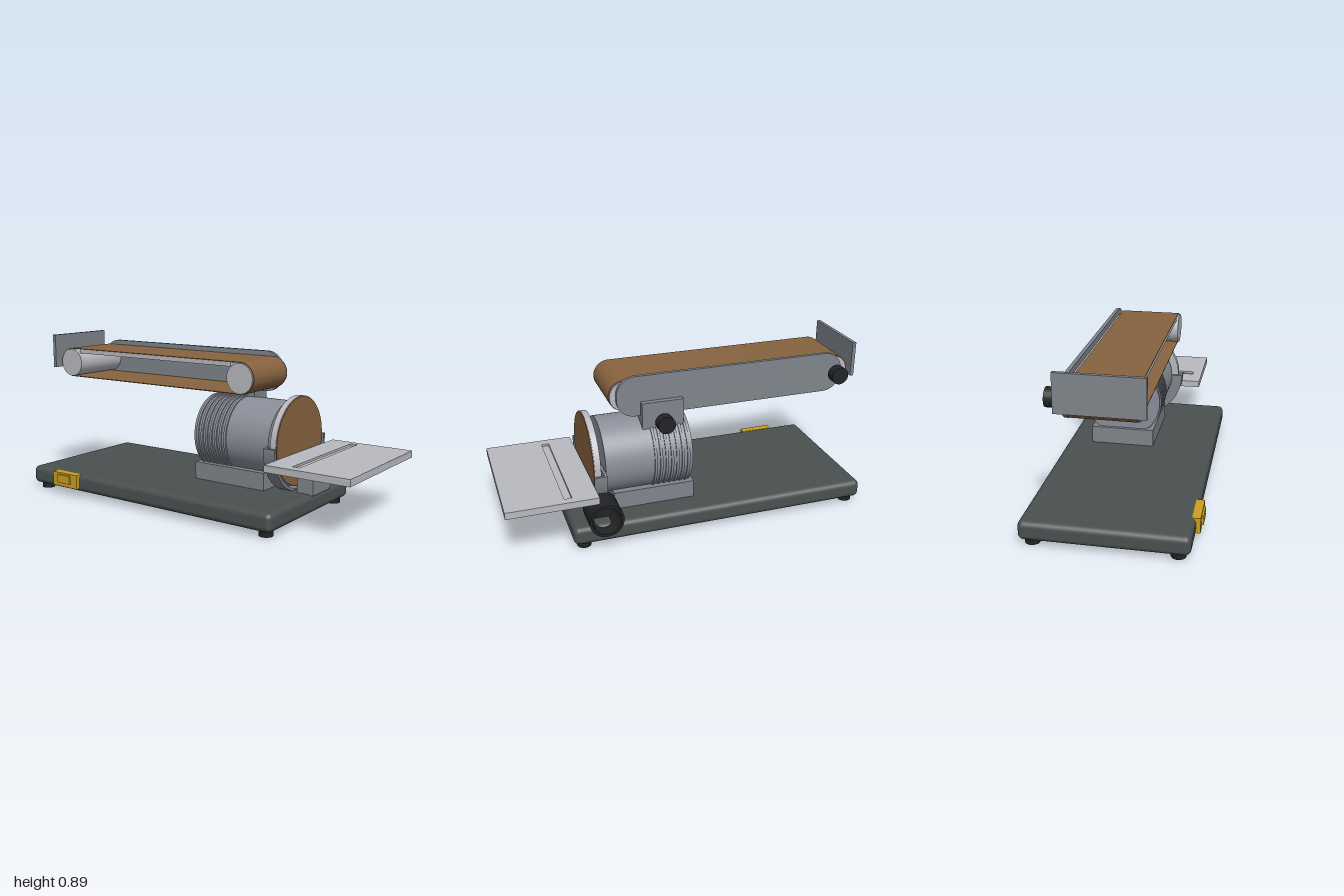
import * as THREE from 'three';
import { toCreasedNormals } from 'three/addons/utils/BufferGeometryUtils.js';
import { RoundedBoxGeometry } from 'three/addons/geometries/RoundedBoxGeometry.js';

export function createModel() {
  const root = new THREE.Group();
  root.name = 'beltDiscSander';

  const mat = (name, color, side = THREE.FrontSide) => {
    const m = new THREE.MeshStandardMaterial({ color, side });
    m.name = name;
    return m;
  };
  const baseGrey = mat('baseGrey', 0x4a5050);
  const black = mat('blackPlastic', 0x222324);
  const silver = mat('silver', 0xb9bac0);
  const steel = mat('steel', 0x7f858c);
  const motorGrey = mat('motorGrey', 0x8a8e98);
  const abrasive = mat('abrasive', 0x876340);
  const yellow = mat('switchYellow', 0xc9a020);

  const add = (name, geo, material, x = 0, y = 0, z = 0) => {
    const m = new THREE.Mesh(geo, material);
    m.name = name;
    m.position.set(x, y, z);
    root.add(m);
    return m;
  };
  // Box given by its limits on each axis
  const box = (name, material, [x0, x1], [y0, y1], [z0, z1]) =>
    add(name, new THREE.BoxGeometry(x1 - x0, y1 - y0, z1 - z0), material,
      (x0 + x1) / 2, (y0 + y1) / 2, (z0 + z1) / 2);
  // Cylinders along x and z, given by their end positions
  const cylX = (name, material, r, x0, x1, y, z, seg = 64) =>
    add(name, new THREE.CylinderGeometry(r, r, x1 - x0, seg).rotateZ(-Math.PI / 2), material, (x0 + x1) / 2, y, z);
  const cylZ = (name, material, r, x, y, z0, z1, seg = 48) =>
    add(name, new THREE.CylinderGeometry(r, r, z1 - z0, seg).rotateX(Math.PI / 2), material, x, y, (z0 + z1) / 2);
  const extrude = (shape, depth) => toCreasedNormals(
    new THREE.ExtrudeGeometry(shape, { depth, bevelEnabled: false, curveSegments: 32 }), 0.5);
  // Rounded rectangle outline
  const roundRect = (target, x0, x1, y0, y1, r) => {
    target.absarc(x1 - r, y0 + r, r, -Math.PI / 2, 0);
    target.absarc(x1 - r, y1 - r, r, 0, Math.PI / 2);
    target.absarc(x0 + r, y1 - r, r, Math.PI / 2, Math.PI);
    target.absarc(x0 + r, y0 + r, r, Math.PI, Math.PI * 1.5);
    target.closePath();
    return target;
  };

  // Base and feet
  add('base', new RoundedBoxGeometry(1.645, 0.1, 0.825, 5, 0.03), baseGrey, -0.168, 0.08, 0.017);
  for (const x of [-0.93, 0.595]) for (const z of [-0.335, 0.367])
    add('foot', new THREE.CylinderGeometry(0.037, 0.037, 0.032, 32), black, x, 0.016, z);

  // Power switch
  box('switchHousing', yellow, [-0.8, -0.613], [0.05, 0.13], [0.41, 0.452]);
  box('switchRocker', yellow, [-0.755, -0.662], [0.073, 0.12], [0.45, 0.462]);

  // Motor with cooling ribs
  const AY = 0.383, AZ = -0.08;
  box('motorMount', steel, [-0.04, 0.405], [0.125, 0.225], [-0.254, 0.094]);
  cylX('motorBody', motorGrey, 0.208, -0.022, 0.452, AY, AZ);
  for (let i = 0; i < 7; i++) {
    const x = -0.005 + i * 0.03;
    cylX('coolingRib', motorGrey, 0.215, x, x + 0.014, AY, AZ);
  }
  cylX('motorShaft', silver, 0.04, 0.44, 0.49, AY, AZ, 32);

  // Sanding disc
  cylX('discPlate', silver, 0.242, 0.485, 0.518, AY, AZ, 80);
  cylX('discAbrasive', abrasive, 0.238, 0.516, 0.522, AY, AZ, 80);

  // Half-round guard below the disc: back plate and rim
  const half = (rOut, rIn) => {
    const s = new THREE.Shape();
    s.absarc(0, 0, rOut, Math.PI, Math.PI * 2);
    s.absarc(0, 0, rIn, Math.PI * 2, Math.PI, true);
    s.closePath();
    return s;
  };
  add('guardBack', extrude(half(0.267, 0.06), 0.015).rotateY(Math.PI / 2), steel, 0.457, AY, AZ);
  add('guardRim', extrude(half(0.267, 0.252), 0.055).rotateY(Math.PI / 2), steel, 0.472, AY, AZ);

  // Open dust port at the back
  const ring = new THREE.Shape().absarc(0, 0, 0.09, 0, Math.PI * 2);
  ring.holes.push(new THREE.Path().absarc(0, 0, 0.075, 0, Math.PI * 2, true));
  add('dustPort', extrude(ring, 0.158), black, 0.495, 0.192, -0.46);
  cylZ('dustPortEnd', black, 0.088, 0.495, 0.192, -0.312, -0.303);

  // Work table with a mitre groove
  box('tableSupport', steel, [0.563, 0.657], [0.125, 0.292], [-0.175, 0.015]);
  box('tableSlab', silver, [0.525, 0.997], [0.29, 0.315], [-0.445, 0.285]);
  const top = roundRect(new THREE.Shape(), 0.525, 0.997, -0.285, 0.445, 0.001);
  top.holes.push(roundRect(new THREE.Path(), 0.657, 0.697, -0.232, 0.402, 0.001));
  add('tableTop', extrude(top, 0.012).rotateX(-Math.PI / 2), silver, 0, 0.315, 0);

  // Belt, rollers and platen
  const BY = 0.728, XL = -0.889, XR = 0.31;
  const belt = roundRect(new THREE.Shape(), XL - 0.084, XR + 0.084, BY - 0.084, BY + 0.084, 0.084);
  belt.holes.push(roundRect(new THREE.Path(), XL - 0.08, XR + 0.08, BY - 0.08, BY + 0.08, 0.08));
  add('sandingBelt', extrude(belt, 0.323), abrasive, 0, 0, -0.145);
  for (const x of [XL, XR]) cylZ('roller', silver, 0.0798, x, BY, -0.156, 0.187, 64);
  box('platen', silver, [-0.83, 0.25], [0.785, 0.8075], [-0.156, 0.177]);

  // Arm plate behind the belt
  const arm = roundRect(new THREE.Shape(), -0.927, 0.358, 0.617, 0.838, 0.1);
  add('armPlate', extrude(arm, 0.02), steel, 0, 0, -0.175);

  // Bracket joining the arm to the motor
  box('bracketPlate', steel, [0.003, 0.23], [0.54, 0.695], [-0.205, -0.174]);
  box('bracketBlock', steel, [0.003, 0.23], [0.54, 0.64], [-0.176, -0.08]);

  // End stop plate
  box('endStop', steel, [-1, -0.98], [0.696, 0.888], [-0.193, 0.227]);

  // Adjustment knobs with their stems
  for (const [x, y, z] of [[-0.883, BY, -0.203], [0.118, 0.588, -0.226]]) {
    cylZ('knob', black, 0.048, x, y, z - 0.052, z, 24);
    cylZ('knobStem', steel, 0.018, x, y, z - 0.01, -0.17, 20);
  }

  return root;
}
